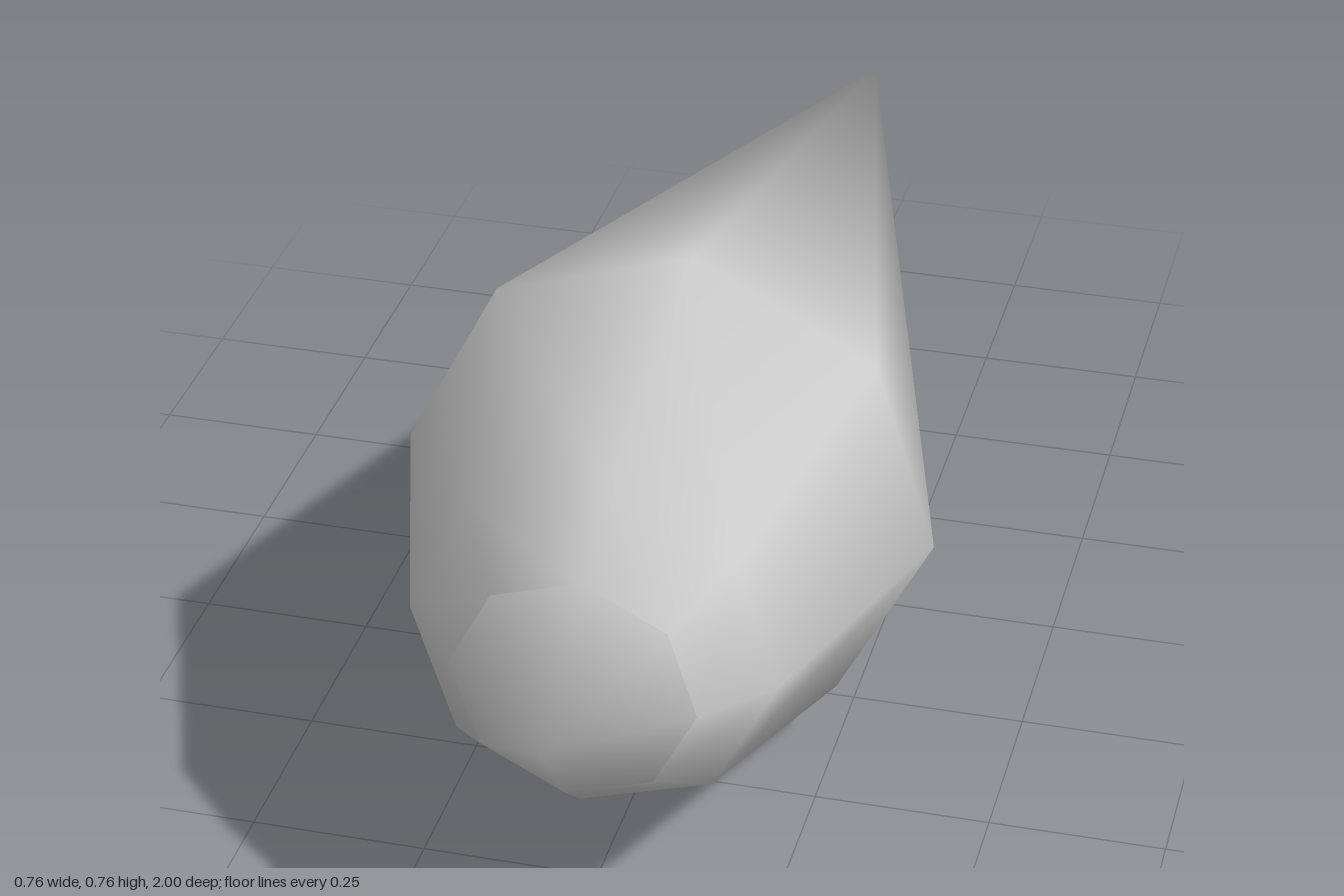
import * as THREE from 'three';
import { mergeVertices } from 'three/addons/utils/BufferGeometryUtils.js';

const SIDES = 8;
const TWIST = -0.09; // slight roll of the octagon about the long axis
const RADIUS = 0.383;

// Eight-sided smooth solid of revolution along z, from [radius, z] points
function spindle(profile) {
  const points = profile.map(([r, z]) => new THREE.Vector2(r, z));
  let geometry = new THREE.LatheGeometry(points, SIDES, TWIST);
  geometry.rotateX(Math.PI / 2);
  // Weld seam and poles so the shading runs smoothly across them
  geometry.deleteAttribute('normal');
  geometry.deleteAttribute('uv');
  geometry = mergeVertices(geometry, 1e-4);
  geometry.computeVertexNormals();
  return geometry;
}

export function createModel() {
  const grey = new THREE.MeshStandardMaterial({ color: 0xcccccc });
  grey.name = 'light grey';

  const model = new THREE.Group();
  model.name = 'spindle';
  const add = (name, profile) => {
    const mesh = new THREE.Mesh(spindle(profile), grey);
    mesh.name = name;
    mesh.position.y = 0.383;
    model.add(mesh);
  };

  // Long tapered tail swelling to the widest ring, then narrowing forward
  add('body', [[0, -1], [RADIUS, 0.35], [0.255, 0.75], [0.17, 0.85]]);
  // Blunt front point, creased where it meets the body
  add('noseTip', [[0.17, 0.85], [0, 1]]);

  return model;
}
